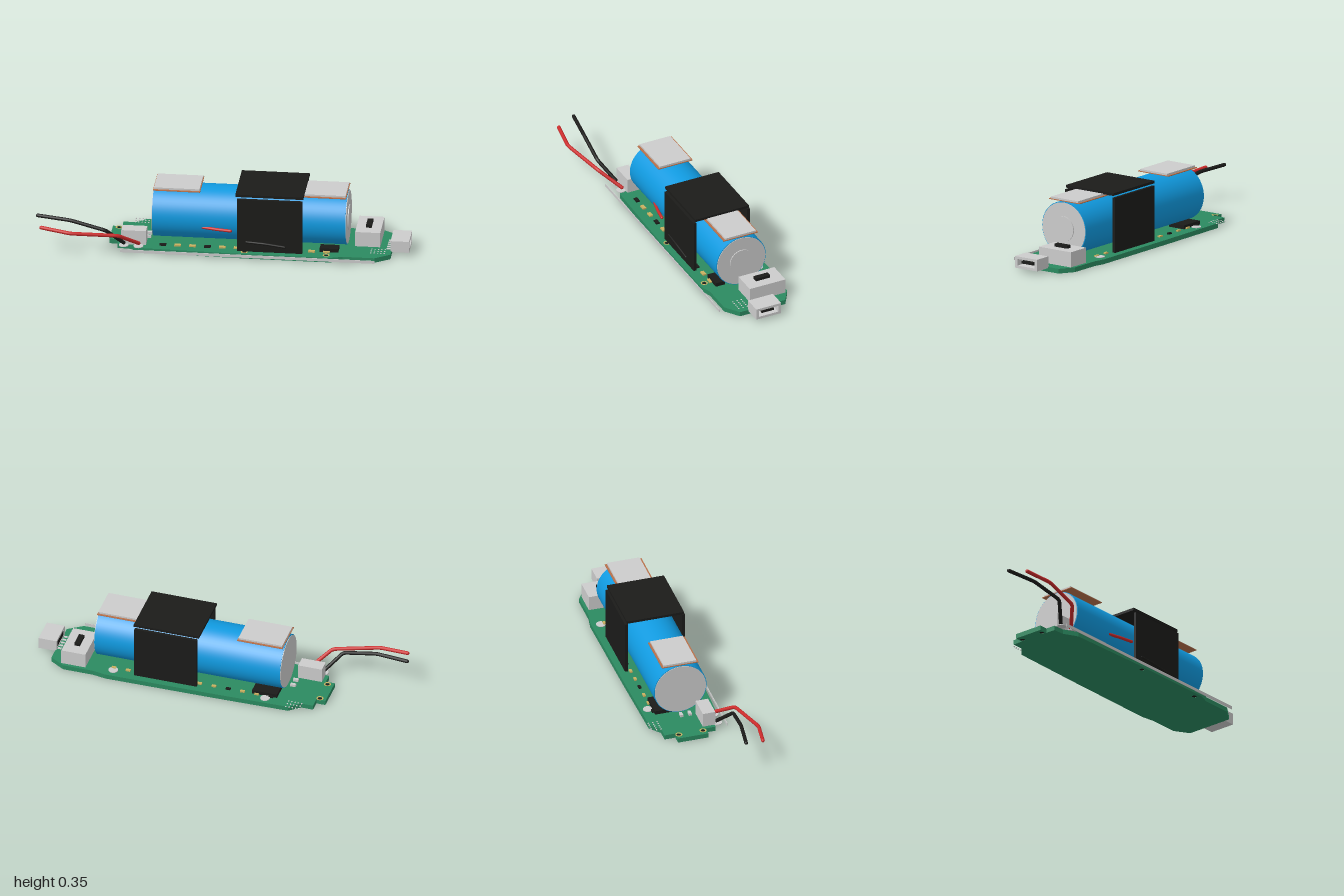
import * as THREE from 'three';

const mat = (color) => new THREE.MeshStandardMaterial({ color, side: THREE.DoubleSide });
const GREY = mat(0xcccccc), BLACK = mat(0x1b1b19), GREEN = mat(0x2b8a60), BLUE = mat(0x109ae0);
const RED = mat(0xcc2a2a), COPPER = mat(0xb8704a), GOLD = mat(0xc8b060);

export function createModel() {
  const model = new THREE.Group();

  const add = (name, geometry, material, parent = model) => {
    const mesh = new THREE.Mesh(geometry, material);
    mesh.name = name;
    parent.add(mesh);
    return mesh;
  };
  // Box given by its limits on each axis
  const box = (name, [x0, x1], [y0, y1], [z0, z1], material, parent) => {
    const g = new THREE.BoxGeometry(x1 - x0, y1 - y0, z1 - z0);
    g.translate((x0 + x1) / 2, (y0 + y1) / 2, (z0 + z1) / 2);
    return add(name, g, material, parent);
  };
  // Upright disc standing on the board
  const disc = (name, x, z, r, y0, y1, material, parent) => {
    const g = new THREE.CylinderGeometry(r, r, y1 - y0, 20);
    g.translate(x, (y0 + y1) / 2, z);
    return add(name, g, material, parent);
  };
  // Wire made of straight runs with small bends
  const wire = (name, points, r, material) => {
    const p = points.map((q) => new THREE.Vector3(...q));
    const path = new THREE.CurvePath();
    let last = p[0];
    for (let i = 1; i < p.length - 1; i++) {
      const a = p[i].clone().lerp(p[i - 1], 0.1), b = p[i].clone().lerp(p[i + 1], 0.1);
      path.add(new THREE.LineCurve3(last, a));
      path.add(new THREE.QuadraticBezierCurve3(a, p[i], b));
      last = b;
    }
    path.add(new THREE.LineCurve3(last, p[p.length - 1]));
    const group = new THREE.Group();
    group.name = name;
    model.add(group);
    add(name + 'Core', new THREE.TubeGeometry(path, 60, r, 12), material, group);
    for (const end of [p[0], p[p.length - 1]]) {
      add(name + 'End', new THREE.SphereGeometry(r, 12, 8), material, group).position.copy(end);
    }
  };

  // Circuit board with chamfered corners and a stepped tail
  const T = 0.026;
  const outline = [
    [-0.615, -0.14], [-0.565, -0.14], [-0.565, -0.2], [-0.5, -0.2], [-0.44, -0.25], [0, -0.258],
    [0.58, -0.263], [0.65, -0.25], [0.82, -0.25], [0.9, -0.2], [0.9, 0.07], [0.82, 0.125],
    [0.65, 0.125], [0.58, 0.148], [0.12, 0.148], [-0.42, 0.132], [-0.5, 0.09], [-0.565, 0.085],
    [-0.565, 0.03], [-0.615, 0.03],
  ];
  const shape = new THREE.Shape(outline.map(([x, z]) => new THREE.Vector2(x, -z)));
  const holes = [[-0.58, -0.125], [-0.58, 0.01], [0.12, 0.12], [0.56, 0.115]];
  for (const [x, z] of holes) {
    shape.holes.push(new THREE.Path().absarc(x, -z, 0.013, 0, Math.PI * 2, true));
  }
  const boardGeo = new THREE.ExtrudeGeometry(shape, { depth: T, bevelEnabled: false, curveSegments: 10 });
  add('circuitBoard', boardGeo.rotateX(-Math.PI / 2), GREEN);
  for (const [x, z] of holes) {
    const ring = new THREE.RingGeometry(0.012, 0.019, 20).rotateX(-Math.PI / 2);
    add('holeRing', ring, GOLD).position.set(x, T + 0.001, z);
    disc('holePlug', x, z, 0.013, 0.002, T - 0.003, BLACK);
  }
  box('edgeStrip', [-0.545, 0.825], [0.008, 0.024], [0.154, 0.157], GREY);

  // Cylindrical cell lying along x
  const cell = new THREE.Group();
  cell.name = 'battery';
  cell.position.set(0.14, 0.18, -0.055);
  cell.rotation.z = -Math.PI / 2;
  model.add(cell);
  add('batterySleeve', new THREE.CylinderGeometry(0.147, 0.147, 1.04, 64, 1, true), BLUE, cell);
  add('batteryCore', new THREE.CylinderGeometry(0.143, 0.143, 1.046, 64), GREY, cell);
  for (const s of [-1, 1]) {
    const rim = add('sleeveRim', new THREE.RingGeometry(0.142, 0.147, 64), BLUE, cell);
    rim.rotation.x = Math.PI / 2;
    rim.position.y = s * 0.52;
  }
  add('batteryTerminal', new THREE.CylinderGeometry(0.068, 0.068, 0.008, 40), GREY, cell).position.y = 0.524;

  // Contact plates with copper backing on top of the cell
  for (const [x0, x1] of [[-0.375, -0.13], [0.4, 0.655]]) {
    box('contactPlate', [x0, x1], [0.332, 0.342], [-0.146, 0.036], GREY);
    box('plateBacking', [x0 - 0.004, x1 + 0.004], [0.328, 0.332], [-0.157, 0.048], COPPER);
  }

  // Black strap around the cell
  box('strapTop', [0.07, 0.435], [0.339, 0.353], [-0.214, 0.105], BLACK);
  box('strapFront', [0.08, 0.43], [T, 0.328], [0.097, 0.113], BLACK);
  box('strapBack', [0.08, 0.43], [T, 0.328], [-0.222, -0.206], BLACK);

  // Plug socket: open shell with a tongue
  const rect = (Cls, w, h) => new Cls([[-w, -h], [w, -h], [w, h], [-w, h]].map((p) => new THREE.Vector2(...p)));
  const shell = rect(THREE.Shape, 0.074, 0.032);
  shell.holes.push(rect(THREE.Path, 0.057, 0.018));
  const shellGeo = new THREE.ExtrudeGeometry(shell, { depth: 0.1, bevelEnabled: false });
  add('plugShell', shellGeo.rotateY(Math.PI / 2), GREY).position.set(0.895, 0.051, -0.054);
  box('plugInside', [0.897, 0.945], [0.033, 0.069], [-0.111, 0.003], BLACK);
  box('plugTongue', [0.945, 0.985], [0.045, 0.058], [-0.09, -0.018], BLACK);

  // Slide switch and wire connector
  box('switchBody', [0.7, 0.835], [T, 0.109], [-0.233, -0.02], GREY);
  box('switchSlider', [0.752, 0.782], [0.109, 0.125], [-0.168, -0.083], BLACK);
  box('wireConnector', [-0.545, -0.412], [T, 0.107], [0.02, 0.09], GREY);

  // Wires
  wire('blackLead', [[-0.99, 0.187, 0.125], [-0.81, 0.179, 0.152], [-0.62, 0.135, 0.166], [-0.53, 0.04, 0.102]], 0.01, BLACK);
  wire('redLead', [[-0.96, 0.163, 0.228], [-0.8, 0.147, 0.253], [-0.55, 0.122, 0.198], [-0.45, 0.042, 0.105]], 0.01, RED);
  wire('redJumper', [[-0.11, 0.141, 0.08], [-0.03, 0.141, 0.1], [0.045, 0.141, 0.112]], 0.008, RED);
  wire('blackJumper', [[0.13, 0.08, 0.11], [0.23, 0.074, 0.113], [0.335, 0.06, 0.112]], 0.007, BLACK);

  // Solder pads
  for (const [x, z] of [[-0.3, -0.212], [0.55, -0.212], [-0.53, 0.105], [-0.45, 0.11]]) {
    disc('solderPad', x, z, 0.026, T, T + 0.004, GREY);
  }
  // Dotted via fields
  for (const [cx, cz] of [[-0.465, -0.225], [0.83, 0.035]]) {
    for (let i = -2; i <= 2; i++) {
      for (let j = -1; j <= 1; j++) {
        disc('via', cx + i * 0.018, cz + j * 0.025, 0.004, T - 0.002, T + 0.002, GREY);
      }
    }
  }
  // Chips and small components
  box('chip', [-0.36, -0.22], [T, 0.047], [-0.19, -0.09], BLACK);
  box('chip', [0.52, 0.62], [T, 0.047], [0.02, 0.075], BLACK);
  for (const z of [-0.06, -0.012]) box('capacitor', [-0.425, -0.395], [T, 0.04], [z - 0.008, z + 0.008], GREY);
  for (let i = 0; i < 12; i++) {
    const x = -0.34 + i * 0.08;
    box('frontComponent', [x, x + 0.035], [T, 0.034], [0.07, 0.09], i % 3 ? GOLD : BLACK);
    box('backComponent', [x, x + 0.025], [T, 0.034], [-0.2, -0.185], i % 3 ? GOLD : BLACK);
  }
  for (let i = 0; i < 5; i++) {
    const z = -0.11 + i * 0.027;
    box('plugContact', [0.872, 0.892], [T, T + 0.004], [z - 0.006, z + 0.006], GREY);
  }
  return model;
}
